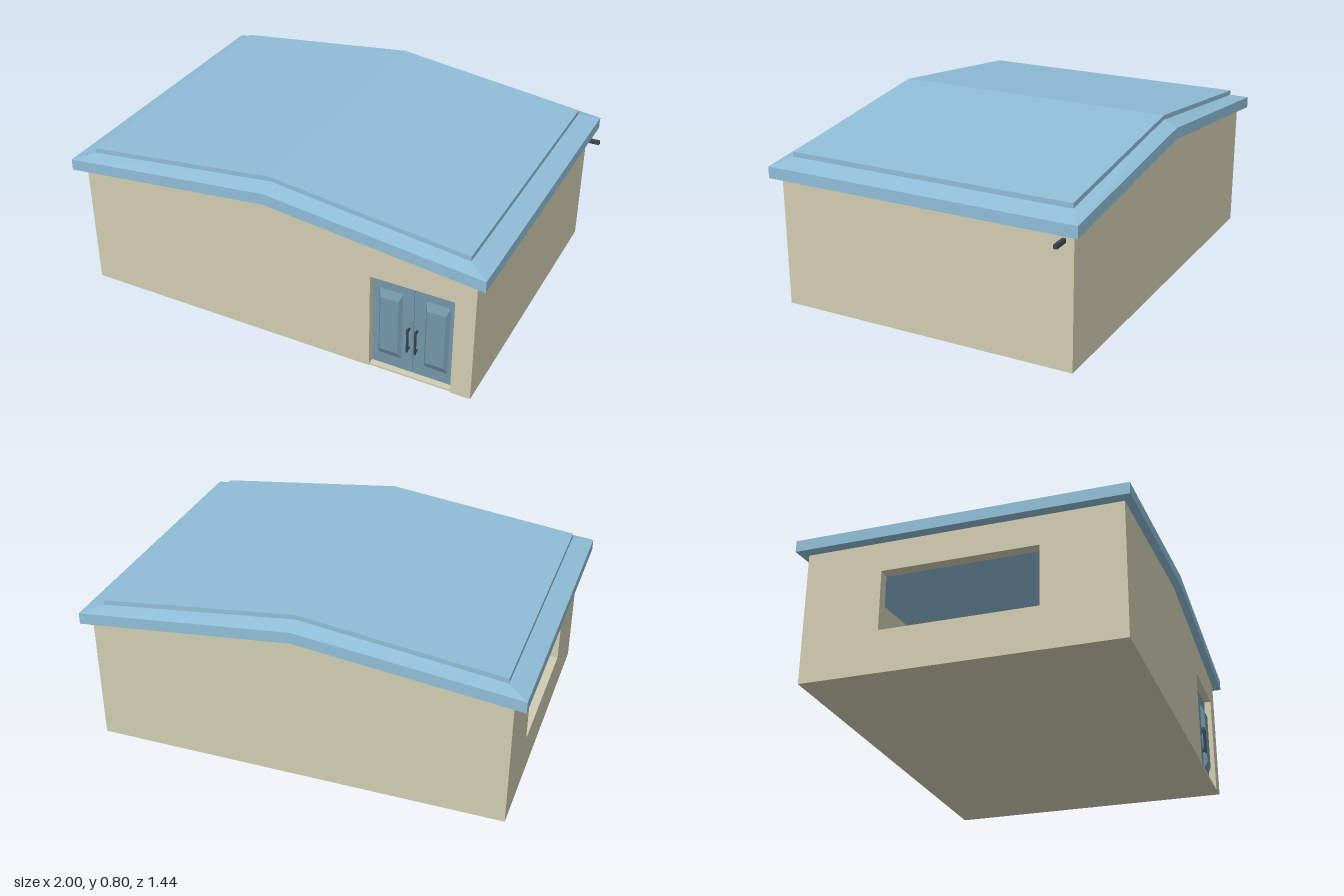
import * as THREE from 'three';

const mat = (color) => new THREE.MeshStandardMaterial({ color, flatShading: true });
const wallMat = mat(0xd0ccb2), roofMat = mat(0x8fbdd6), doorMat = mat(0x7396a8), darkMat = mat(0x3a444d);

function add(parent, name, geo, material, x = 0, y = 0, z = 0) {
  const m = new THREE.Mesh(geo, material);
  m.name = name;
  m.position.set(x, y, z);
  parent.add(m);
  return m;
}

const box = (parent, name, material, w, h, d, x, y, z) =>
  add(parent, name, new THREE.BoxGeometry(w, h, d), material, x, y, z);

// Rectangle path used for openings
function rect(Type, x0, y0, x1, y1) {
  return new Type([[x0, y0], [x1, y0], [x1, y1], [x0, y1]].map(([x, y]) => new THREE.Vector2(x, y)));
}

// Gabled slab: a box split at the ridge, its middle raised, its top optionally inset
function gableSlab(w, h, d, rise, insetX = 0, insetZ = 0) {
  const g = new THREE.BoxGeometry(w, h, d, 2, 1, 1).toNonIndexed();
  const p = g.attributes.position;
  for (let i = 0; i < p.count; i++) {
    const x = p.getX(i), y = p.getY(i), z = p.getZ(i);
    const top = y > 0;
    p.setXYZ(i,
      x - (top ? Math.sign(x) * insetX : 0),
      y + h / 2 + rise * (1 - Math.abs(x) / (w / 2)),
      z - (top ? Math.sign(z) * insetZ : 0));
  }
  g.computeVertexNormals();
  return g;
}

// Raised door panel: a box whose front face is drawn in
function raisedPanel(w, h, d, insetX, insetY) {
  const g = new THREE.BoxGeometry(w, h, d).toNonIndexed();
  const p = g.attributes.position;
  for (let i = 0; i < p.count; i++) {
    if (p.getZ(i) < 0) continue;
    p.setX(i, p.getX(i) - Math.sign(p.getX(i)) * insetX);
    p.setY(i, p.getY(i) - Math.sign(p.getY(i)) * insetY);
  }
  g.computeVertexNormals();
  return g;
}

export function createModel() {
  const model = new THREE.Group();
  model.name = 'house';
  const T = 0.05, X0 = -0.945, X1 = 0.925, MID = -0.01, ZW = 0.685;
  const extrude = { depth: T, bevelEnabled: false };

  // Gable walls, the front one notched for the doorway
  const gable = (door) => {
    const pts = [[X0, 0]];
    if (door) pts.push([0.46, 0], [0.46, 0.47], [0.835, 0.47], [0.835, 0]);
    pts.push([X1, 0], [X1, 0.597], [MID, 0.705], [X0, 0.597]);
    return new THREE.ExtrudeGeometry(new THREE.Shape(pts.map(([x, y]) => new THREE.Vector2(x, y))), extrude);
  };
  add(model, 'frontWall', gable(true), wallMat, 0, 0, ZW - T);
  add(model, 'backWall', gable(false), wallMat, 0, 0, -ZW);

  // Side walls between the gables; the one at -x has a wide window opening
  const inner = ZW - T;
  box(model, 'leftWall', wallMat, T, 0.6, inner * 2, X1 - T / 2, 0.3, 0);
  const side = rect(THREE.Shape, -inner, 0, inner, 0.6);
  side.holes.push(rect(THREE.Path, -0.335, 0.19, 0.345, 0.46));
  add(model, 'windowWall', new THREE.ExtrudeGeometry(side, extrude), wallMat, X0, 0, 0).rotation.y = Math.PI / 2;
  box(model, 'floor', wallMat, X1 - X0 - 0.01, 0.01, ZW * 2 - 0.01, MID, 0.005, 0);

  // Roof: fascia slab, sloped border, raised top
  const roof = new THREE.Group();
  roof.name = 'roof';
  roof.position.x = -0.015;
  model.add(roof);
  add(roof, 'roofFascia', gableSlab(1.97, 0.052, 1.44, 0.108), roofMat, 0, 0.588, 0);
  add(roof, 'roofBorder', gableSlab(1.97, 0.027, 1.44, 0.108, 0.09, 0.063), roofMat, 0, 0.64, 0);
  add(roof, 'roofTop', gableSlab(1.79, 0.022, 1.314, 0.107), roofMat, 0, 0.667, 0);

  // Recessed double door with raised panels and bar handles
  const door = new THREE.Group();
  door.name = 'doubleDoor';
  door.position.set(0.6475, 0, 0.64);
  model.add(door);
  for (const s of [-1, 1]) {
    box(door, 'doorLeaf', doorMat, 0.185, 0.465, 0.025, s * 0.0935, 0.235, 0);
    add(door, 'doorPanel', raisedPanel(0.11, 0.35, 0.02, 0.014, 0.04), doorMat, s * 0.105, 0.235, 0.02);
    box(door, 'doorHandle', darkMat, 0.008, 0.12, 0.008, s * 0.018, 0.19, 0.034);
    for (const y of [0.14, 0.24]) box(door, 'handleMount', darkMat, 0.008, 0.008, 0.024, s * 0.018, y, 0.022);
  }

  // Small bar sticking out of the side wall near the back corner
  box(model, 'wallBar', darkMat, 0.1, 0.018, 0.016, 0.95, 0.553, -0.642);

  // Chair inside, seen through the window
  const chair = new THREE.Group();
  chair.name = 'chair';
  chair.position.set(-0.6, 0.01, 0.12);
  model.add(chair);
  box(chair, 'chairSeat', darkMat, 0.13, 0.015, 0.13, 0, 0.1, 0);
  box(chair, 'chairBack', darkMat, 0.13, 0.12, 0.015, 0, 0.165, -0.06);
  for (const x of [-0.058, 0.058]) {
    for (const z of [-0.058, 0.058]) box(chair, 'chairLeg', darkMat, 0.012, 0.1, 0.012, x, 0.05, z);
    box(chair, 'chairRail', darkMat, 0.012, 0.01, 0.13, x, 0.005, 0);
  }
  return model;
}
